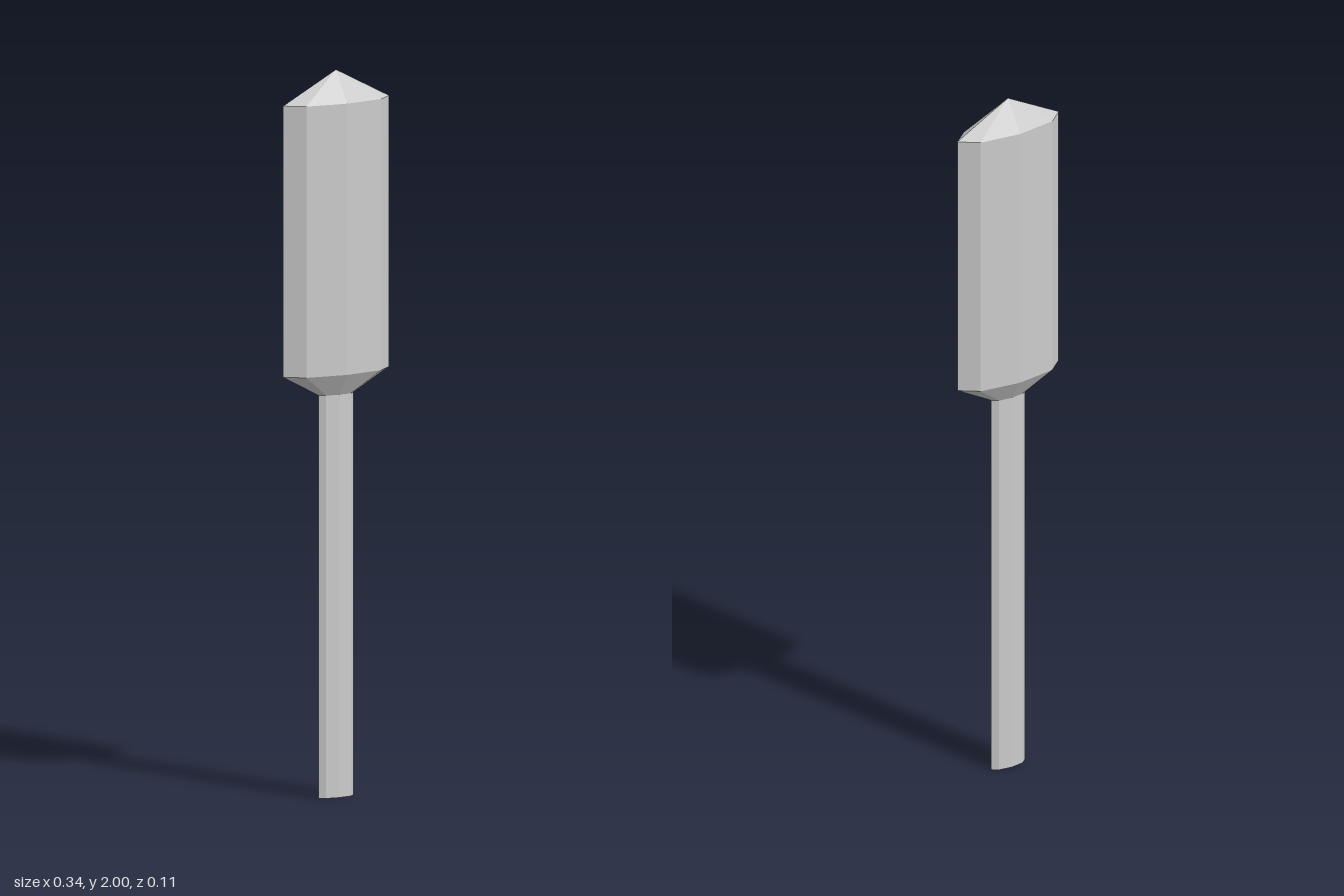
import * as THREE from 'three';

const SIDES = 8;
const DEPTH = 0.34; // flattening along z
const material = new THREE.MeshStandardMaterial({ color: 0xcccccc, flatShading: true });

// Flattened eight-sided section between two heights
function section(name, y0, y1, r0, r1, open = true) {
  const geometry = new THREE.CylinderGeometry(r1, r0, y1 - y0, SIDES, 1, open);
  geometry.scale(1, 1, DEPTH);
  geometry.translate(0, (y0 + y1) / 2, 0);
  const mesh = new THREE.Mesh(geometry, material);
  mesh.name = name;
  return mesh;
}

export function createModel() {
  const model = new THREE.Group();
  model.name = 'cattail';

  // Slim stem, closed at the foot
  model.add(section('stem', 0, 1.108, 0.0555, 0.0555, false));

  // Seed head: flared base, straight body, pointed tip
  const head = new THREE.Group();
  head.name = 'head';
  head.add(
    section('headBase', 1.108, 1.168, 0.0555, 0.168),
    section('headBody', 1.168, 1.914, 0.168, 0.168),
    section('headTip', 1.914, 2, 0.168, 0)
  );
  model.add(head);
  return model;
}
